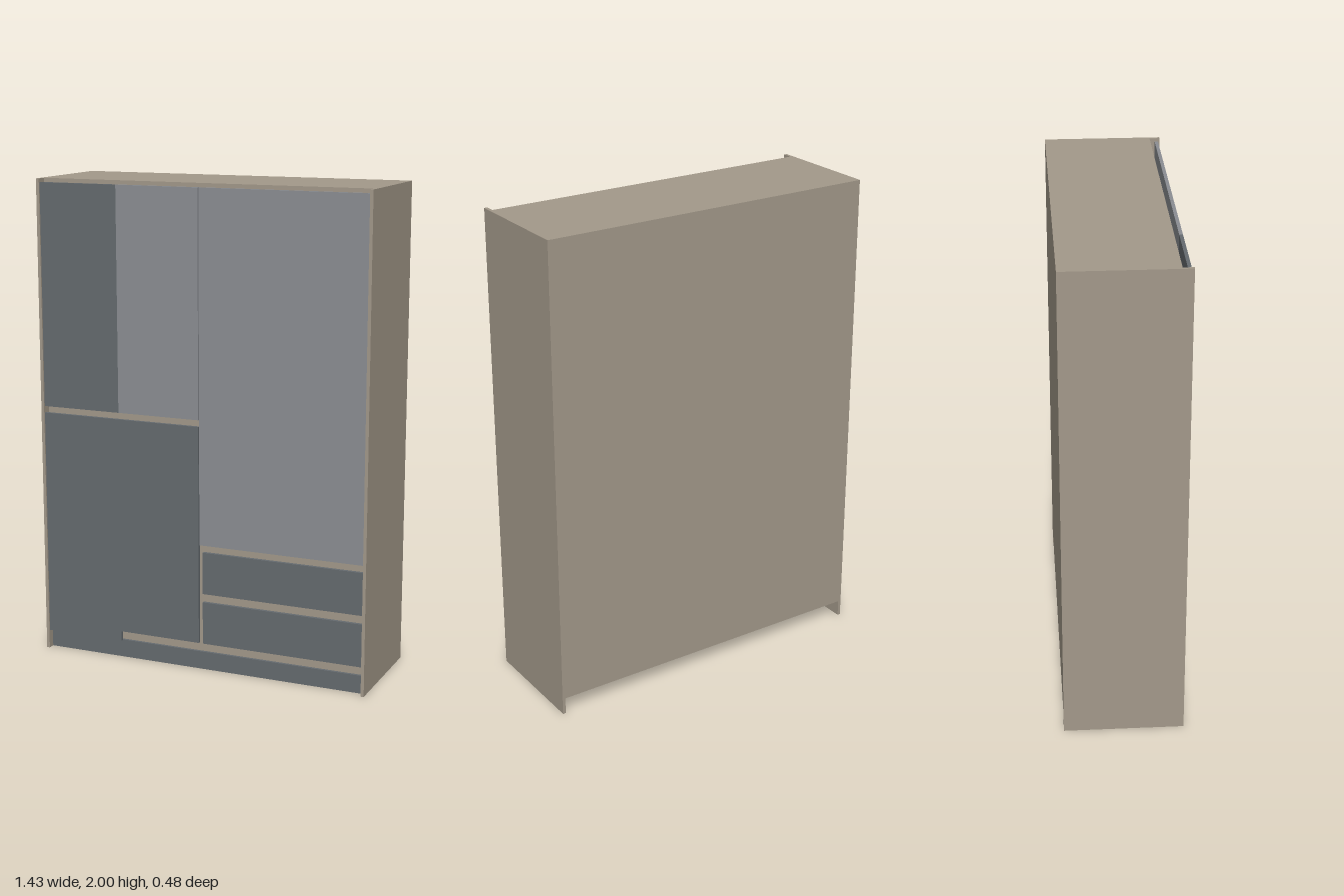
import * as THREE from 'three';

export function createModel() {
  const wardrobe = new THREE.Group();
  wardrobe.name = 'wardrobe';

  const mat = (name, color) => {
    const m = new THREE.MeshStandardMaterial({ color });
    m.name = name;
    return m;
  };
  const taupe = mat('taupe board', 0xa3998a);
  const slate = mat('dark slate', 0x656b6f);
  const grey = mat('light grey', 0x8b8e93);

  // Board given by its two extreme corners
  const board = (name, material, [x0, x1], [y0, y1], [z0, z1]) => {
    const mesh = new THREE.Mesh(new THREE.BoxGeometry(x1 - x0, y1 - y0, z1 - z0), material);
    mesh.position.set((x0 + x1) / 2, (y0 + y1) / 2, (z0 + z1) / 2);
    mesh.name = name;
    wardrobe.add(mesh);
  };

  const IN = 0.703;               // inner half width
  const BACK = -0.242;
  const inside = [-0.23, 0.2];    // depth of carcass boards
  const face = [0.222, 0.236];    // depth of doors and drawer fronts

  // Carcass
  board('rightSide', taupe, [-0.716, -IN], [0, 2], [BACK, 0.242]);
  board('leftSide', taupe, [IN, 0.716], [0, 2], [BACK, 0.242]);
  board('topBoard', taupe, [-IN, IN], [1.97, 2], inside);
  board('bottomBoard', taupe, [-IN, IN], [0.07, 0.09], inside);
  board('backBoard', taupe, [-IN, IN], [0.07, 2], [BACK, -0.23]);
  board('plinth', slate, [-IN, IN], [0, 0.075], [0.2, 0.212]);

  // Inner divider, shelves and rails behind the gaps
  board('divider', taupe, [-0.015, 0.02], [0.09, 1.97], inside);
  board('middleShelf', taupe, [-IN, -0.015], [1.015, 1.075], inside);
  board('bottomRail', taupe, [-IN, IN], [0.09, 0.135], [0.18, 0.2]);
  board('drawerRail', taupe, [0.02, IN], [0.285, 0.345], inside);
  board('drawerShelf', taupe, [0.02, IN], [0.5, 0.555], inside);

  // Tall doors
  board('upperDoorDark', slate, [-IN, -0.36], [1.06, 1.985], face);
  board('upperDoorLight', grey, [-0.36, -0.003], [1.06, 1.985], face);
  board('lowerDoorOuter', slate, [-IN, -0.36], [0.078, 1.032], face);
  board('lowerDoorInner', slate, [-0.36, -0.003], [0.12, 1.032], face);
  board('tallDoorInner', grey, [0.001, 0.354], [0.54, 1.985], face);
  board('tallDoorOuter', grey, [0.354, IN], [0.54, 1.985], face);

  // Drawer fronts
  for (const [y0, y1] of [[0.12, 0.298], [0.334, 0.51]]) {
    board('drawerFront', slate, [0.015, IN], [y0, y1], face);
  }

  return wardrobe;
}
